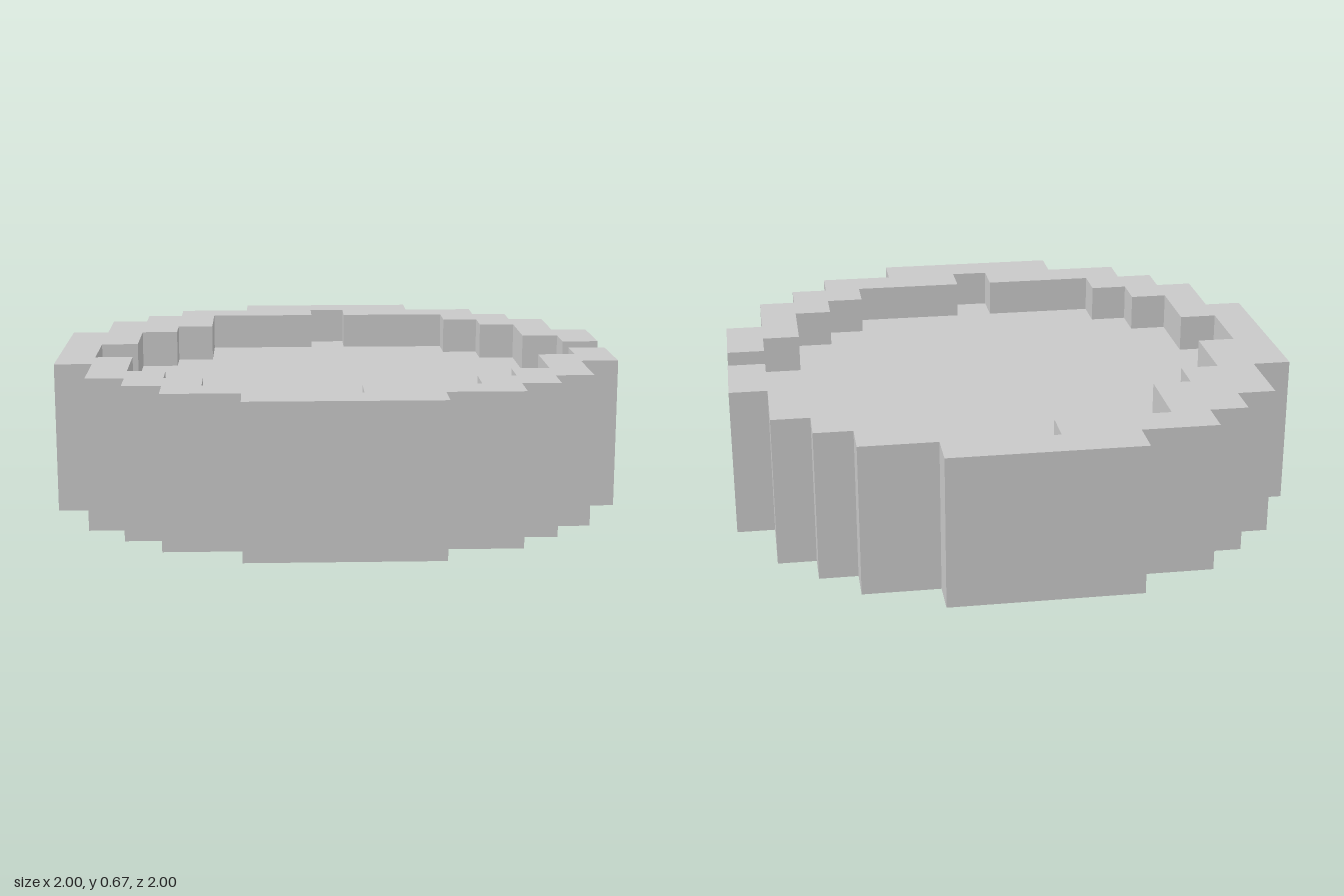
import * as THREE from 'three';

const U = 2 / 15; // one grid step

// Stepped edge: each row is [x, zEnd], starting at z
function stairs(z, rows) {
  const pts = [];
  for (const [x, zEnd] of rows) {
    pts.push([x, z], [x, zEnd]);
    z = zEnd;
  }
  return pts;
}

const mirrorX = (pts) => pts.map(([x, z]) => [-x, z]);
const reversed = (pts) => [...pts].reverse();

// Prism from an (x, z) outline, between two heights in grid steps
function slab(name, pts, bottom, top, material) {
  const shape = new THREE.Shape(pts.map(([x, z]) => new THREE.Vector2(x * U, z * U)));
  const geometry = new THREE.ExtrudeGeometry(shape, { depth: (top - bottom) * U, bevelEnabled: false });
  geometry.rotateX(Math.PI / 2).translate(0, top * U, 0);
  const mesh = new THREE.Mesh(geometry, material);
  mesh.name = name;
  return mesh;
}

export function createModel() {
  const group = new THREE.Group();
  group.name = 'steppedBasin';
  const grey = new THREE.MeshStandardMaterial({ color: 0xc8c8c8 });
  grey.name = 'light grey';

  // Outer wall, right side from back to front
  const outerRows = [[2.5, -6.5], [4.5, -5.5], [5.5, -4.5], [6.5, -2.5], [7.5, 2.5],
    [6.5, 4.5], [5.5, 5.5], [4.5, 6.5], [2.5, 7.5]];
  const outer = stairs(-7.5, outerRows);
  const outerLeft = reversed(mirrorX(outer));
  const outerBack = stairs(-7.5, [...outerRows.slice(0, 4), [7.5, -0.5]]);
  const outerFront = stairs(0.5, outerRows.slice(4));

  // Inner wall of the recess, open at the spout on +x
  const innerLeft = stairs(-6.5, [[-0.5, -5.5], [-3.5, -3.5], [-4.5, -2.5], [-5.5, -0.5], [-6.5, 1.5],
    [-5.5, 3.5], [-4.5, 4.5], [-3.5, 5.5], [-0.5, 6.5]]);
  const innerBack = stairs(-6.5, [[0.5, -5.5], [3.5, -4.5], [4.5, -3.5], [5.5, -1.5], [6.5, -0.5]]);
  const innerFront = stairs(0.5, [[6.5, 1.5], [5.5, 3.5], [4.5, 4.5], [3.5, 5.5], [0.5, 6.5]]);

  // Solid body whose top is the recess floor
  group.add(slab('body', [...outer, ...outerLeft], 1, 4, grey));

  // Raised rim with a gap for the spout
  const rim = [...outerFront, ...outerLeft, ...outerBack,
    ...reversed(innerBack), ...innerLeft, ...reversed(innerFront)];
  group.add(slab('rim', rim, 4, 5, grey));

  // Small foot under the middle
  const foot = new THREE.Mesh(new THREE.BoxGeometry(U, U, 3 * U), grey);
  foot.position.y = U / 2;
  foot.name = 'foot';
  group.add(foot);

  return group;
}
